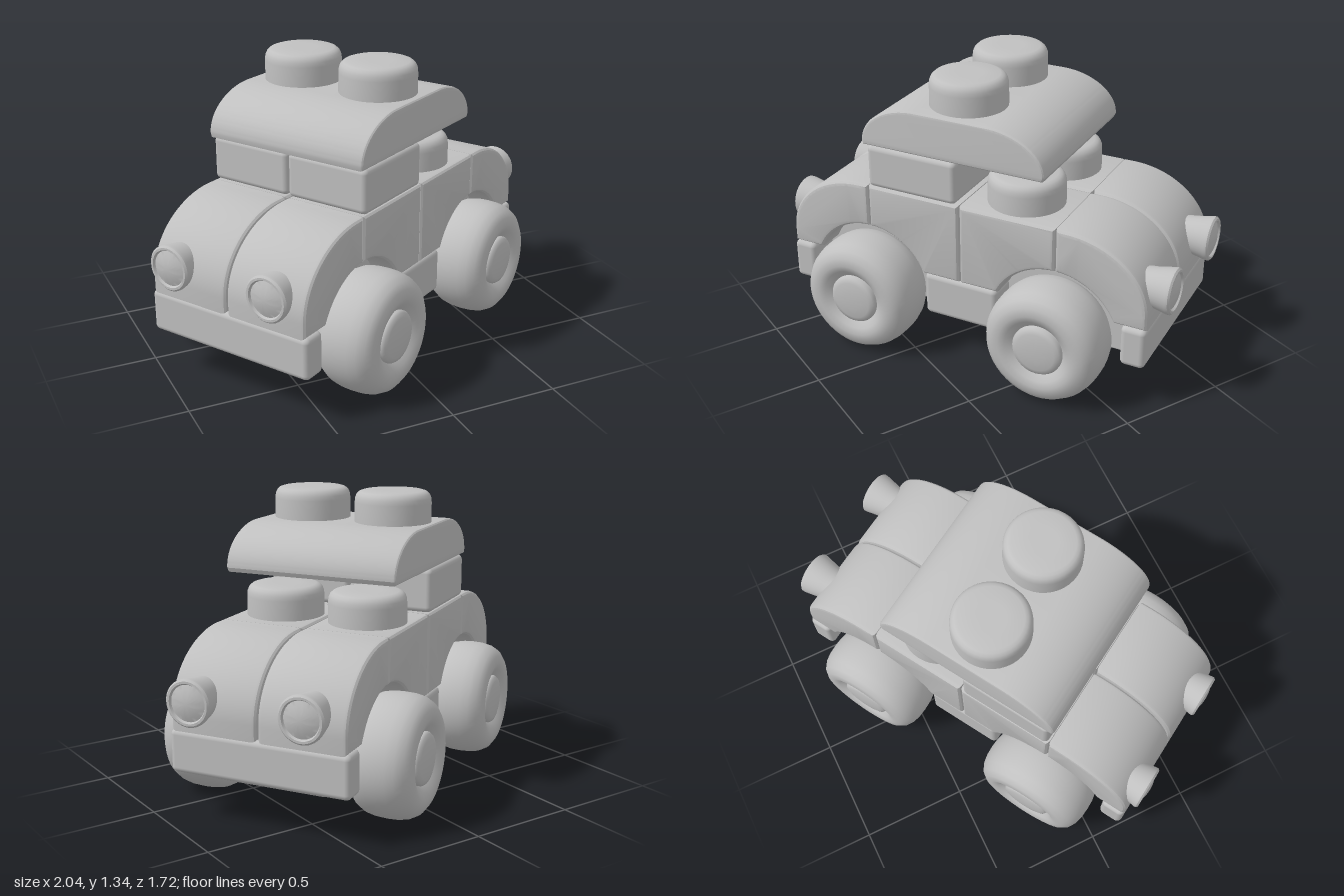
import * as THREE from 'three';
import { toCreasedNormals } from 'three/addons/utils/BufferGeometryUtils.js';
import { RoundedBoxGeometry } from 'three/addons/geometries/RoundedBoxGeometry.js';

const SEAM = 0.47;    // wheel centre and joint between body and fender
const END = 0.905;    // end of the body
const HALF = 0.41;    // half width of the body
const ARCH = 0.305;   // wheel arch radius
const AXLE_Y = 0.275;
const FLOOR = 0.4, DECK = 0.79;

export function createModel() {
  const grey = new THREE.MeshStandardMaterial({ color: 0xc0c0c0 });
  grey.name = 'grey plastic';
  const model = new THREE.Group();
  model.name = 'toyBrickCar';
  // the car stands turned on its base
  const turn = new THREE.Group();
  turn.name = 'turnedCar';
  turn.rotation.y = THREE.MathUtils.degToRad(31);
  model.add(turn);
  const car = new THREE.Group();
  car.name = 'car';
  car.position.set(-0.03, 0, -0.012);
  turn.add(car);

  function add(parent, name, geometry, x = 0, y = 0, z = 0) {
    const mesh = new THREE.Mesh(geometry, grey);
    mesh.name = name;
    mesh.position.set(x, y, z);
    parent.add(mesh);
    return mesh;
  }
  // rounded box given by its limits
  function block(parent, name, x0, x1, y0, y1, z0, z1, r = 0.025) {
    const g = new RoundedBoxGeometry(x1 - x0, y1 - y0, z1 - z0, 4, r);
    return add(parent, name, g, (x0 + x1) / 2, (y0 + y1) / 2, (z0 + z1) / 2);
  }
  // side profile extruded across the car from z0 to z1, with soft edges
  function slab(parent, name, shape, z0, z1, b = 0.022) {
    const g = new THREE.ExtrudeGeometry(shape, {
      depth: z1 - z0 - 2 * b, bevelThickness: b, bevelSize: b, bevelOffset: -b,
      bevelSegments: 3, curveSegments: 18
    });
    g.translate(0, 0, z0 + b);
    return add(parent, name, toCreasedNormals(g, 0.45));
  }
  // turned part from [radius, height] pairs joined by a smooth line
  function turned(points, segments = 40) {
    const pts = points.map(p => new THREE.Vector2(p[0], p[1]));
    return toCreasedNormals(new THREE.LatheGeometry(pts, segments), 0.7);
  }

  // profiles of the body and fender bricks
  const archEnd = Math.asin((FLOOR - AXLE_Y) / ARCH);
  const bodyShape = new THREE.Shape();
  bodyShape.moveTo(0.002, DECK);
  bodyShape.lineTo(0.002, FLOOR);
  bodyShape.absarc(SEAM, AXLE_Y, ARCH, Math.PI - archEnd, Math.PI / 2, true);
  bodyShape.lineTo(SEAM, DECK);

  const fenderShape = new THREE.Shape();
  fenderShape.moveTo(SEAM + 0.002, DECK);
  fenderShape.lineTo(SEAM + 0.002, 0.65);
  fenderShape.absarc(SEAM + 0.002, AXLE_Y, ARCH, Math.PI / 2, archEnd, true);
  fenderShape.lineTo(END, FLOOR);
  fenderShape.absellipse(SEAM + 0.05, 0.47, END - SEAM - 0.05, DECK - 0.47, 0, Math.PI / 2, false);

  // stud with a rounded rim
  const studGeometry = turned([
    [0.177, -0.02], [0.176, 0.09], [0.174, 0.11], [0.167, 0.126], [0.155, 0.137], [0.14, 0.142], [0.07, 0.144], [0, 0.144]
  ]);
  const studs = (name, x, y) => [-0.207, 0.2].forEach(z => add(car, name, studGeometry, x, y, z));

  // tyre with a rounded tread and dished faces
  const tyreGeometry = turned([
    [0, -0.11], [0.11, -0.11], [0.14, -0.135], [0.18, -0.147], [0.217, -0.141], [0.246, -0.12],
    [0.265, -0.085], [0.273, -0.045], [0.275, 0], [0.273, 0.045], [0.265, 0.085], [0.246, 0.12],
    [0.217, 0.141], [0.18, 0.147], [0.15, 0.137], [0.125, 0.115], [0.105, 0.1]
  ], 48).rotateX(Math.PI / 2);
  const hubGeometry = turned([
    [0.118, 0.05], [0.118, 0.122], [0.11, 0.134], [0.09, 0.14], [0.045, 0.145], [0, 0.146]
  ]).rotateX(Math.PI / 2);
  const axleGeometry = new THREE.CylinderGeometry(0.05, 0.05, 0.72, 20).rotateX(Math.PI / 2);

  // flared lamp with a raised rim
  const lampGeometry = turned([
    [0.08, -0.19], [0.088, -0.1], [0.104, -0.02], [0.104, -0.008], [0.096, 0],
    [0.086, 0], [0.08, -0.01], [0.06, -0.002], [0.03, 0.006], [0, 0.008]
  ]).rotateZ(-Math.PI / 2);

  // both ends of the car are alike, turned half round
  for (const [label, angle] of [['front', 0], ['rear', Math.PI]]) {
    const half = new THREE.Group();
    half.name = label + 'Half';
    half.rotation.y = angle;
    car.add(half);
    for (const [z0, z1] of [[-HALF, -0.002], [0.002, HALF]]) {
      slab(half, 'bodyBrick', bodyShape, z0, z1);
      slab(half, 'fender', fenderShape, z0, z1);
    }
    block(half, 'bumper', 0.79, END, 0.21, 0.405, -HALF - 0.01, HALF + 0.01);
    block(half, 'chassisPlate', 0, 0.82, 0.175, 0.56, -0.27, 0.27, 0.01);
    add(half, 'axle', axleGeometry, SEAM, AXLE_Y, 0);
    for (const s of [-1, 1]) {
      const wheel = new THREE.Group();
      wheel.name = 'wheel';
      wheel.position.set(SEAM, AXLE_Y, s * 0.45);
      if (s < 0) wheel.rotation.y = Math.PI;
      half.add(wheel);
      add(wheel, 'tyre', tyreGeometry);
      add(wheel, 'hub', hubGeometry);
      add(half, 'headlamp', lampGeometry, angle ? 0.945 : 0.985, 0.555, s * 0.26 + 0.018);
    }
  }

  // lower middle brick between the wheels
  block(car, 'sill', -0.185, 0.185, 0.19, 0.402, -0.405, 0.405);

  // cabin bricks and the studs on the open deck
  block(car, 'cabinBrick', -0.465, -0.015, DECK, 0.995, -HALF, -0.002);
  block(car, 'cabinBrick', -0.465, -0.015, DECK, 0.995, 0.002, HALF);
  studs('deckStud', 0.24, DECK);

  // roof brick, curved down at both ends
  const roofShape = new THREE.Shape();
  roofShape.moveTo(-0.485, 0.995);
  roofShape.lineTo(0.405, 0.995);
  roofShape.absellipse(0.135, 1.015, 0.28, 0.185, 0, Math.PI / 2, false);
  roofShape.absellipse(-0.21, 1.015, 0.28, 0.185, Math.PI / 2, Math.PI, false);
  slab(car, 'roof', roofShape, -HALF, HALF, 0.015);
  studs('roofStud', -0.048, 1.2);

  return model;
}
